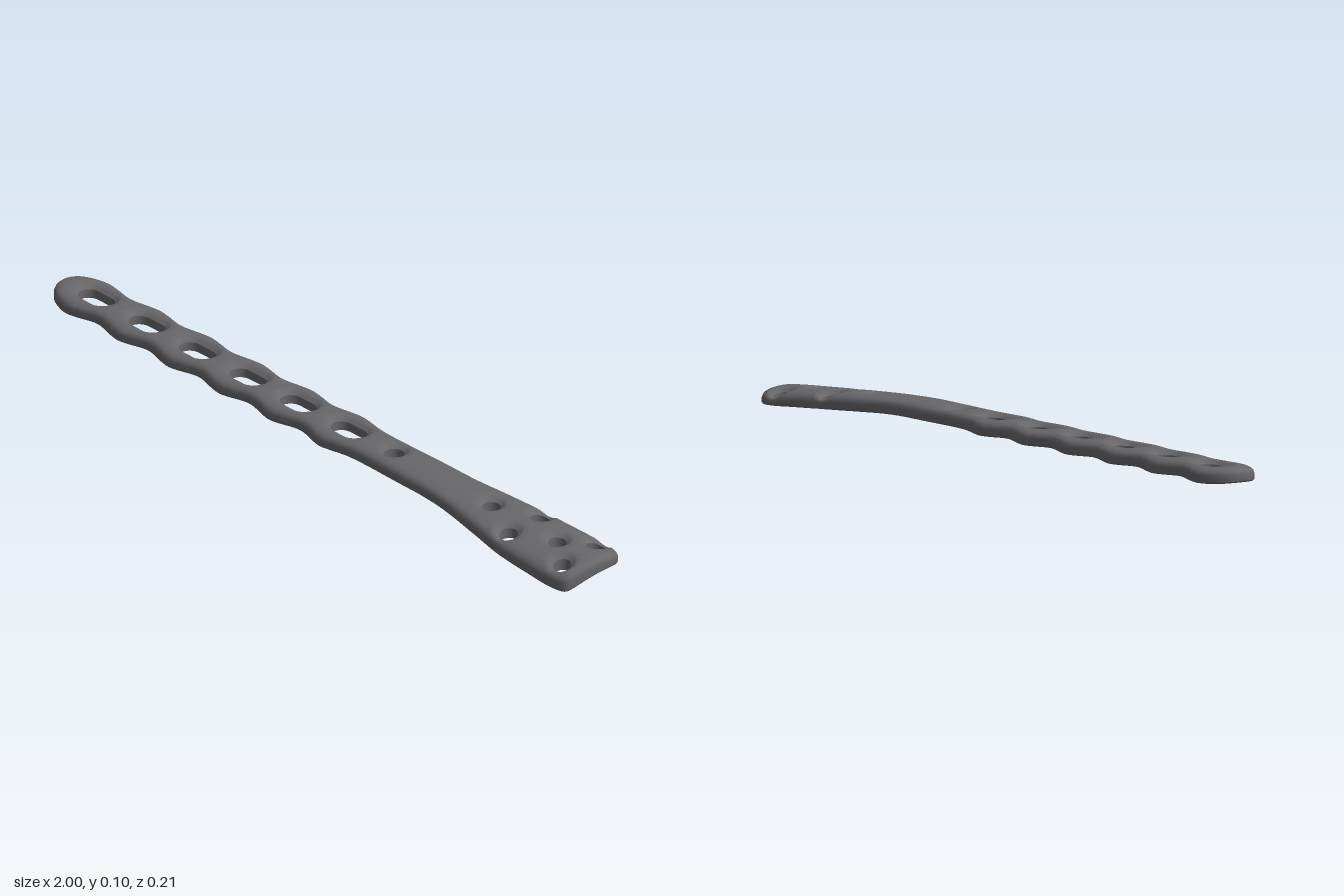
import * as THREE from 'three';

const AXIS = 0.014;      // z of the shaft centreline
const mix = THREE.MathUtils.lerp;

// Plan outline (x, z): flared head, plain neck, scalloped shaft, round tail
function makeOutline() {
  const front = [[0.998, 0.05], [0.988, 0.084], [0.95, 0.097], [0.85, 0.104], [0.75, 0.106],
    [0.65, 0.097], [0.5, 0.082], [0.35, 0.079], [0.155, 0.078]];
  const back = [[1, -0.05], [0.993, -0.085], [0.97, -0.103], [0.93, -0.107], [0.85, -0.098],
    [0.7, -0.08], [0.6, -0.066], [0.5, -0.052], [0.35, -0.049], [0.155, -0.048]];
  for (let i = 5; i >= 0; i--) {
    const x = -0.9 + i * 0.192;
    for (const [dx, w] of [[0.03, 0.074], [0, 0.078], [-0.03, 0.074], [-0.095, 0.061]]) {
      if (i === 0 && dx < -0.05) continue;
      front.push([x + dx, AXIS + w]);
      back.push([x + dx, AXIS - w]);
    }
  }
  front.push([-0.972, AXIS + 0.055], [-0.993, AXIS + 0.03]);
  back.push([-0.972, AXIS - 0.055], [-0.993, AXIS - 0.03]);
  const loop = [...front, [-1, AXIS], ...back.reverse()];
  const curve = new THREE.CatmullRomCurve3(loop.map(([x, z]) => new THREE.Vector3(x, 0, z)), true);
  return curve.getSpacedPoints(420).slice(0, -1).map(p => new THREE.Vector2(p.x, p.z));
}

// Screw holes: x, z, radius, half length of the straight part
const HOLES = [[0.255, 0.013, 0.027, 0], [0.623, 0.011, 0.024, 0], [0.74, -0.048, 0.024, 0],
  [0.743, 0.06, 0.024, 0], [0.858, -0.002, 0.024, 0], [0.925, -0.07, 0.024, 0], [0.937, 0.052, 0.023, 0]];
for (let i = 0; i < 6; i++) HOLES.push([-0.872 + i * 0.1915, AXIS, 0.029, 0.027]);

// Round or slotted loop around a hole, grown outwards by gap
function holeLoop([x, z, r, half], gap) {
  const path = new THREE.Path();
  path.absarc(x + half, z, r + gap, -Math.PI / 2, Math.PI / 2);
  path.absarc(x - half, z, r + gap, Math.PI / 2, Math.PI * 1.5);
  path.closePath();
  const count = half ? 40 : 24;
  return path.getSpacedPoints(count).slice(0, count).reverse();
}

// Distance from a plan point to the nearest hole edge
const holeGap = (x, z) => Math.min(...HOLES.map(([hx, hz, r, half]) =>
  Math.hypot(Math.max(0, Math.abs(x - hx) - half), z - hz) - r));

// Distance from a plan point to the outline
function outlineDistance(outline, x, z) {
  let best = Infinity;
  outline.forEach((a, i) => {
    const b = outline[(i + 1) % outline.length];
    const dx = b.x - a.x, dz = b.y - a.y;
    const t = THREE.MathUtils.clamp(((x - a.x) * dx + (z - a.y) * dz) / (dx * dx + dz * dz), 0, 1);
    best = Math.min(best, Math.hypot(a.x + t * dx - x, a.y + t * dz - z));
  });
  return best;
}

// Quarter-round drop within r of the edge
const roundOff = (d, r) => d >= r ? 0 : 1 - Math.sqrt(Math.max(0, 1 - (1 - d / r) ** 2));

// Upper and lower heights of the plate
function heights(outline, x, z) {
  const bend = Math.pow(THREE.MathUtils.clamp((x - 0.4) / 0.6, 0, 1), 1.5);
  const d = outlineDistance(outline, x, z);
  let top = mix(0.104 - 1.2 * (z - AXIS) ** 2, 0.074 - 2.2 * (z + 0.02) ** 2, bend);
  let bottom = mix(0.067 - 1.3 * (z - AXIS) ** 2, 0.034 - 1.63 * (z + 0.05) ** 2, bend);
  top -= 0.016 * roundOff(d, 0.022);
  bottom += 0.007 * roundOff(d, 0.012);
  // countersinks
  top -= 0.013 * (1 - THREE.MathUtils.clamp(holeGap(x, z) / 0.016, 0, 1));
  return [top, Math.min(bottom, top - 0.004)];
}

// Plan points: edge loops first, then rim rings, countersink rings and a filling grid
function planPoints(outline, holes) {
  const points = [];
  const add = (x, z, loop) => {
    const i = points.length;   // a tiny offset avoids points sharing one circle
    points.push({ x: x + Math.sin(i * 12.9) * 2e-5, z: z + Math.cos(i * 7.7) * 2e-5, loop });
  };
  const addSpaced = (x, z, space) => {
    if (points.every(p => Math.hypot(p.x - x, p.z - z) > space)) add(x, z, -1);
  };
  [outline, ...holes].forEach((loop, n) => loop.forEach(p => add(p.x, p.y, n)));

  for (const inset of [0.003, 0.008, 0.016]) {
    outline.forEach((p, i) => {
      const next = outline[(i + 1) % outline.length], prev = outline.at(i - 1);
      const length = next.distanceTo(prev);
      const x = p.x - (next.y - prev.y) / length * inset;
      const z = p.y + (next.x - prev.x) / length * inset;
      if (holeGap(x, z) > 0.004) addSpaced(x, z, 0.0027);
    });
  }
  for (const gap of [0.008, 0.016]) {
    for (const hole of HOLES) {
      for (const p of holeLoop(hole, gap)) {
        if (THREE.ShapeUtils.area(outline) > 0 && inside(outline, p) && holeGap(p.x, p.y) > 0.004) {
          addSpaced(p.x, p.y, 0.005);
        }
      }
    }
  }
  for (let x = -0.99; x < 1; x += 0.016) {
    for (let z = -0.1; z < 0.1; z += 0.016) {
      if (inside(outline, { x, y: z }) && holeGap(x, z) > 0.01) addSpaced(x, z, 0.01);
    }
  }
  return points;
}

function inside(loop, p) {
  let odd = false;
  loop.forEach((a, i) => {
    const b = loop[(i + 1) % loop.length];
    if ((a.y > p.y) !== (b.y > p.y) && p.x < a.x + (b.x - a.x) * (p.y - a.y) / (b.y - a.y)) odd = !odd;
  });
  return odd;
}

// Delaunay triangles by point insertion
function triangulate(points) {
  const n = points.length;
  const all = [...points, { x: -100, z: -100 }, { x: 100, z: -100 }, { x: 0, z: 100 }];
  const triangle = (a, b, c) => {
    const p = all[a], bx = all[b].x - p.x, bz = all[b].z - p.z, cx = all[c].x - p.x, cz = all[c].z - p.z;
    const area = bx * cz - bz * cx, bb = bx * bx + bz * bz, cc = cx * cx + cz * cz;
    const x = (cz * bb - bz * cc) / (2 * area), z = (bx * cc - cx * bb) / (2 * area);
    return { v: area > 0 ? [a, b, c] : [a, c, b], x: p.x + x, z: p.z + z, rr: x * x + z * z };
  };
  let triangles = [triangle(n, n + 1, n + 2)];
  points.forEach((p, i) => {
    const edges = new Map();
    triangles = triangles.filter(t => {
      if ((p.x - t.x) ** 2 + (p.z - t.z) ** 2 >= t.rr) return true;
      t.v.forEach((a, k) => {
        const b = t.v[(k + 1) % 3], key = Math.min(a, b) + ',' + Math.max(a, b);
        if (!edges.delete(key)) edges.set(key, [a, b]);
      });
      return false;
    });
    for (const [a, b] of edges.values()) triangles.push(triangle(a, b, i));
  });
  return triangles.map(t => t.v).filter(v => v.every(i => i < n));
}

function plateGeometry() {
  const outline = makeOutline();
  const holes = HOLES.map(hole => holeLoop(hole, 0));
  const points = planPoints(outline, holes);
  const positions = [], index = [];
  const addPair = p => {
    const [top, bottom] = heights(outline, p.x, p.z);
    positions.push(p.x, top, p.z, p.x, bottom, p.z);
    return positions.length / 3 - 2;
  };
  points.forEach(addPair);

  // Upper and lower faces, skipping triangles that only bridge one edge loop
  for (const [i, j, k] of triangulate(points)) {
    const loop = points[i].loop;
    if (loop >= 0 && points[j].loop === loop && points[k].loop === loop) continue;
    index.push(2 * i, 2 * k, 2 * j, 2 * i + 1, 2 * j + 1, 2 * k + 1);
  }

  // Outer rim blends smoothly, hole bores keep a sharp lip
  [outline, ...holes].forEach((_, n) => {
    const ring = [];
    points.forEach((p, i) => { if (p.loop === n) ring.push(n ? addPair(p) : 2 * i); });
    ring.forEach((a, i) => {
      const b = ring[(i + 1) % ring.length];
      index.push(a, b, b + 1, a, b + 1, a + 1);
    });
  });

  const geometry = new THREE.BufferGeometry();
  geometry.setAttribute('position', new THREE.Float32BufferAttribute(positions, 3));
  geometry.setIndex(index);
  geometry.computeVertexNormals();
  geometry.computeBoundingBox();
  const { min, max } = geometry.boundingBox;
  return geometry.translate(-(min.x + max.x) / 2, -min.y, -(min.z + max.z) / 2);
}

export function createModel() {
  const group = new THREE.Group();
  group.name = 'bonePlate';
  const darkMetal = new THREE.MeshStandardMaterial({ color: 0x67676a });
  darkMetal.name = 'darkMetal';
  const plate = new THREE.Mesh(plateGeometry(), darkMetal);
  plate.name = 'perforatedPlate';
  group.add(plate);
  return group;
}
